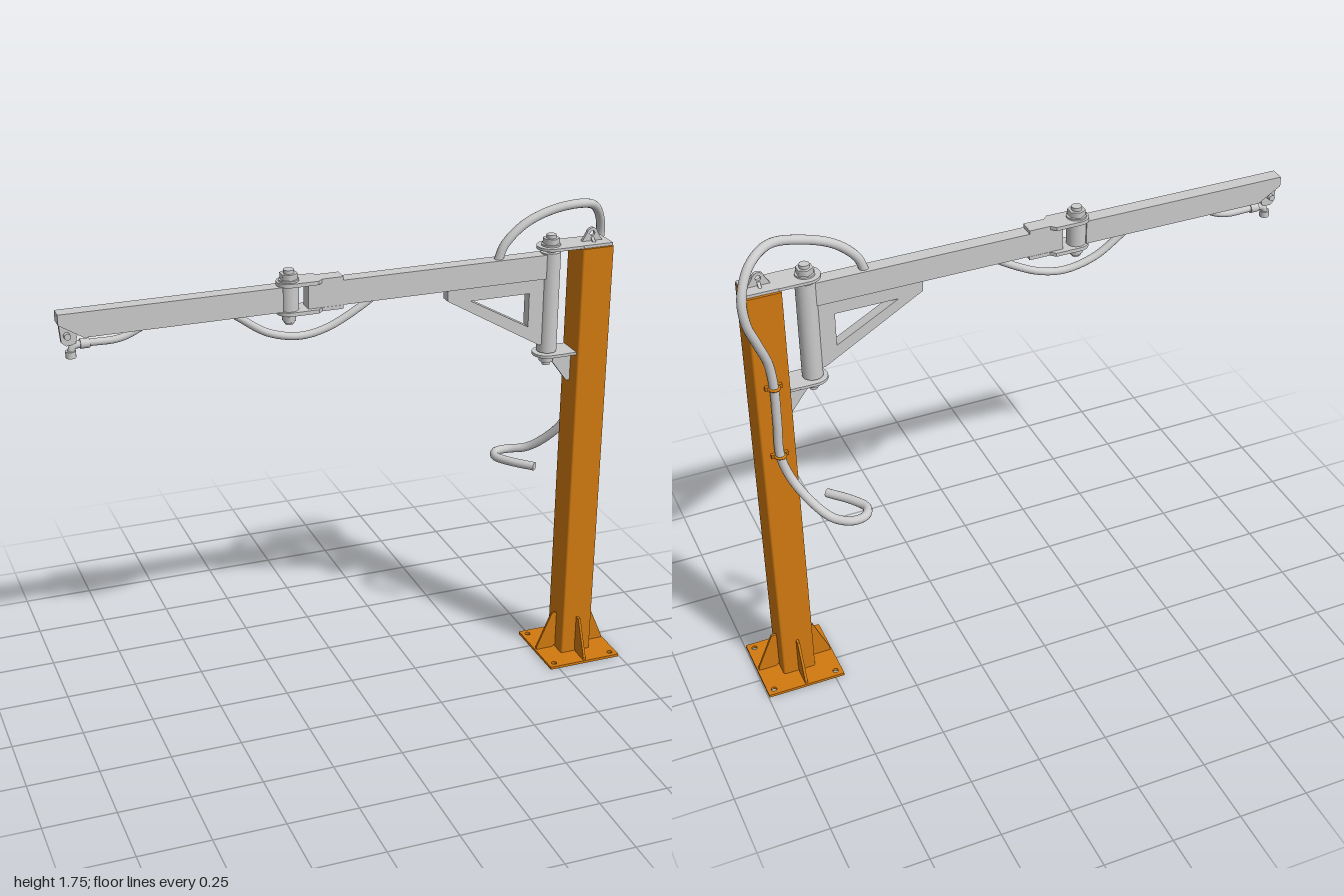
import * as THREE from 'three';

const grey = new THREE.MeshStandardMaterial({ color: 0xcccccc });
const orange = new THREE.MeshStandardMaterial({ color: 0xd27a10 });
const POST = 0.857, COLUMN = 0.705, ELBOW = -0.235, ZC = 0.044;

function add(parent, name, geometry, material, x = 0, y = 0, z = 0) {
  const mesh = new THREE.Mesh(geometry, material);
  mesh.name = name;
  mesh.position.set(x, y, z);
  parent.add(mesh);
  return mesh;
}

const outline = (pts) => new THREE.Shape(pts.map(([x, y]) => new THREE.Vector2(x, y)));

function circleHole(x, y, r) {
  const path = new THREE.Path();
  path.absarc(x, y, r, 0, Math.PI * 2, true);
  return path;
}

// Plate in the xy plane, centred on its thickness
function plate(shape, thickness) {
  return new THREE.ExtrudeGeometry(shape, { depth: thickness, bevelEnabled: false, curveSegments: 12 })
    .translate(0, 0, -thickness / 2);
}

// Plate lying flat: the shape's y becomes z
const flatPlate = (shape, thickness) => plate(shape, thickness).rotateX(Math.PI / 2);

const cyl = (r, h, sides = 28) => new THREE.CylinderGeometry(r, r, h, sides);

function roundedSquare(half, r) {
  const s = new THREE.Shape();
  for (let i = 0; i < 4; i++) {
    const a = i * Math.PI / 2;
    const sx = i === 0 || i === 3 ? 1 : -1, sy = i < 2 ? 1 : -1;
    s.absarc(sx * (half - r), sy * (half - r), r, a, a + Math.PI / 2, false);
  }
  return s;
}

// Tongue with a round end at x = 0 that runs on to x = length, narrowing to endHalf
function tongue(r, shoulder, length, endHalf) {
  const s = new THREE.Shape();
  s.absarc(0, 0, r, Math.PI / 2, Math.PI * 1.5, false);
  s.lineTo(shoulder, -r);
  s.lineTo(shoulder + (r - endHalf), -endHalf);
  s.lineTo(length, -endHalf);
  s.lineTo(length, endHalf);
  s.lineTo(shoulder + (r - endHalf), endHalf);
  s.lineTo(shoulder, r);
  return s;
}

// Hose with closed ends
function hose(parent, name, pts, r) {
  const curve = new THREE.CatmullRomCurve3(pts.map((p) => new THREE.Vector3(...p)), false, 'centripetal');
  const group = new THREE.Group();
  group.name = name;
  add(group, name + 'Tube', new THREE.TubeGeometry(curve, 24 + pts.length * 6, r, 14), grey);
  for (const t of [0, 1]) {
    const dir = curve.getTangent(t).multiplyScalar(t ? 1 : -1);
    const cap = add(group, name + 'End', new THREE.CircleGeometry(r, 14), grey);
    cap.position.copy(curve.getPoint(t));
    cap.quaternion.setFromUnitVectors(new THREE.Vector3(0, 0, 1), dir);
  }
  parent.add(group);
}

// Hinge pin end: washer, hex nut and threaded tip; dir is 1 up or -1 down
function pinEnd(parent, name, x, y, dir, scale = 1) {
  const group = new THREE.Group();
  group.name = name;
  add(group, 'washer', cyl(0.033 * scale, 0.006), grey, 0, 0.003 * dir);
  add(group, 'nut', cyl(0.029 * scale, 0.02, 6), grey, 0, 0.016 * dir);
  add(group, 'pinTip', cyl(0.017 * scale, 0.012), grey, 0, 0.032 * dir);
  group.position.set(x, y, ZC);
  parent.add(group);
}

function buildPost() {
  const post = new THREE.Group();
  post.name = 'post';
  post.position.set(POST, 0, ZC);

  const base = roundedSquare(0.14, 0.003);
  for (const sx of [-1, 1]) for (const sz of [-1, 1]) base.holes.push(circleHole(sx * 0.115, sz * 0.115, 0.01));
  add(post, 'basePlate', flatPlate(base, 0.01), orange, 0, 0.005);
  add(post, 'column', flatPlate(roundedSquare(0.059, 0.008), 1.582), orange, 0, 0.801);

  // Base gussets, one per side
  const gusset = outline([[0.07, 0.01], [0.134, 0.01], [0.134, 0.022], [0.077, 0.155], [0.058, 0.155], [0.058, 0.022]]);
  for (let i = 0; i < 4; i++) {
    add(post, 'baseGusset', plate(gusset, 0.009), orange).rotation.y = i * Math.PI / 2;
  }

  // Hose clips on the back face
  for (const y of [0.985, 1.255]) {
    const strap = new THREE.TorusGeometry(0.017, 0.005, 8, 16, Math.PI).rotateX(-Math.PI / 2);
    add(post, 'hoseClip', strap, orange, 0, y, -0.072);
    for (const s of [-1, 1]) add(post, 'clipFoot', new THREE.BoxGeometry(0.014, 0.014, 0.014), orange, s * 0.022, y, -0.064);
  }
  return post;
}

function buildBracket() {
  const bracket = new THREE.Group();
  bracket.name = 'hingeBracket';
  add(bracket, 'topPlate', flatPlate(tongue(0.05, 0.1, 0.21, 0.049), 0.01), grey, COLUMN, 1.597, ZC);
  add(bracket, 'bottomPlate', flatPlate(tongue(0.05, 0.06, 0.095, 0.049), 0.01), grey, COLUMN, 1.211, ZC);
  const web = outline([[0.72, 1.207], [0.72, 1.185], [0.785, 1.097], [0.8, 1.095], [0.8, 1.207]]);
  add(bracket, 'bottomGusset', plate(web, 0.012), grey, 0, 0, ZC);
  add(bracket, 'hingePin', cyl(0.02, 0.4), grey, COLUMN, 1.4, ZC);
  pinEnd(bracket, 'topNut', COLUMN, 1.602, 1);
  pinEnd(bracket, 'bottomNut', COLUMN, 1.206, -1, 0.85);

  // Lifting eye
  const eye = new THREE.Shape();
  eye.moveTo(-0.038, 0);
  eye.lineTo(0.038, 0);
  eye.lineTo(0.02, 0.03);
  eye.absarc(0, 0.027, 0.02, 0.2, Math.PI - 0.2, false);
  eye.holes.push(circleHole(0, 0.027, 0.009));
  add(bracket, 'liftingEye', plate(eye, 0.012), grey, POST, 1.601, ZC);
  const rib = outline([[0, 0], [0.026, 0], [0.006, 0.014], [0, 0.014]]);
  for (const s of [-1, 1]) add(bracket, 'eyeRib', plate(rib, 0.01), grey, POST, 1.601, ZC).rotation.y = s * Math.PI / 2;
  return bracket;
}

function buildInnerArm() {
  const arm = new THREE.Group();
  arm.name = 'innerArm';
  add(arm, 'hingeTube', cyl(0.035, 0.36, 36), grey, COLUMN, 1.4, ZC);
  add(arm, 'innerBeam', new THREE.BoxGeometry(0.85, 0.085, 0.05), grey, 0.258, 1.533, ZC);

  // Open triangular brace
  const brace = outline([[0.32, 1.492], [0.32, 1.452], [0.665, 1.25], [0.685, 1.25], [0.685, 1.492]]);
  brace.holes.push(new THREE.Path([[0.405, 1.443], [0.622, 1.443], [0.622, 1.322]].map(([x, y]) => new THREE.Vector2(x, y))));
  add(arm, 'brace', plate(brace, 0.038), grey, 0, 0, ZC);

  // Fork at the elbow
  for (const y of [1.582, 1.484]) add(arm, 'forkPlate', flatPlate(tongue(0.042, 0.09, 0.18, 0.026), 0.013), grey, ELBOW, y, ZC);
  add(arm, 'forkEndPlate', new THREE.BoxGeometry(0.012, 0.088, 0.05), grey, -0.17, 1.533, ZC);
  return arm;
}

function buildOuterArm() {
  const arm = new THREE.Group();
  arm.name = 'outerArm';
  const beam = outline([[-1, 1.575], [-1, 1.54], [-0.92, 1.49], [-0.262, 1.49], [-0.262, 1.575]]);
  add(arm, 'outerBeam', plate(beam, 0.05), grey, 0, 0, ZC);
  add(arm, 'elbowTube', cyl(0.033, 0.086, 32), grey, ELBOW, 1.533, ZC);
  add(arm, 'elbowPin', cyl(0.018, 0.17), grey, ELBOW, 1.53, ZC);
  pinEnd(arm, 'elbowTopNut', ELBOW, 1.589, 1, 1.05);
  pinEnd(arm, 'elbowBottomNut', ELBOW, 1.477, -1, 0.8);

  // Tip lug with cross bolt and hose outlet
  const lug = outline([[-0.995, 1.535], [-0.99, 1.475], [-0.975, 1.462], [-0.945, 1.466], [-0.935, 1.505]]);
  add(arm, 'tipLug', plate(lug, 0.016), grey, 0, 0, ZC);
  add(arm, 'tipBolt', cyl(0.011, 0.05, 12).rotateX(Math.PI / 2), grey, -0.972, 1.498, ZC);
  hose(arm, 'tipHose', [[-0.72, 1.497, ZC], [-0.78, 1.47, ZC], [-0.82, 1.462, ZC], [-0.92, 1.462, ZC], [-0.953, 1.455, ZC], [-0.962, 1.42, ZC]], 0.012);
  add(arm, 'hoseOutlet', cyl(0.017, 0.022), grey, -0.961, 1.431, ZC);
  add(arm, 'hoseCollar', cyl(0.016, 0.03).rotateZ(Math.PI / 2), grey, -0.915, 1.462, ZC);
  return arm;
}

export function createModel() {
  const model = new THREE.Group();
  model.name = 'swivelBoom';
  model.add(buildPost(), buildBracket(), buildInnerArm(), buildOuterArm());

  // Slack hose under the elbow
  hose(model, 'elbowHose', [[-0.43, 1.5, ZC], [-0.4, 1.478, ZC], [-0.31, 1.418, ZC], [-0.2, 1.392, ZC], [-0.1, 1.41, ZC], [0.03, 1.478, ZC], [0.06, 1.5, ZC]], 0.013);

  // Supply hose from the arm, over the post, down its back and out
  hose(model, 'supplyHose', [
    [0.508, 1.565, ZC], [0.53, 1.62, ZC], [0.6, 1.685, ZC], [0.7, 1.725, ZC], [0.81, 1.737, 0.044],
    [0.89, 1.705, 0.0], [0.935, 1.62, -0.04], [0.932, 1.53, -0.052], [0.9, 1.44, -0.044], [0.868, 1.35, -0.03],
    [POST, 1.255, -0.028], [POST, 1.12, -0.028], [POST, 0.985, -0.028], [0.83, 0.89, -0.045], [0.78, 0.81, -0.095],
    [0.73, 0.765, -0.14], [0.675, 0.755, -0.17], [0.625, 0.755, -0.165], [0.603, 0.755, -0.125],
    [0.632, 0.755, -0.07], [0.7, 0.755, 0.005],
  ], 0.0155);
  return model;
}
